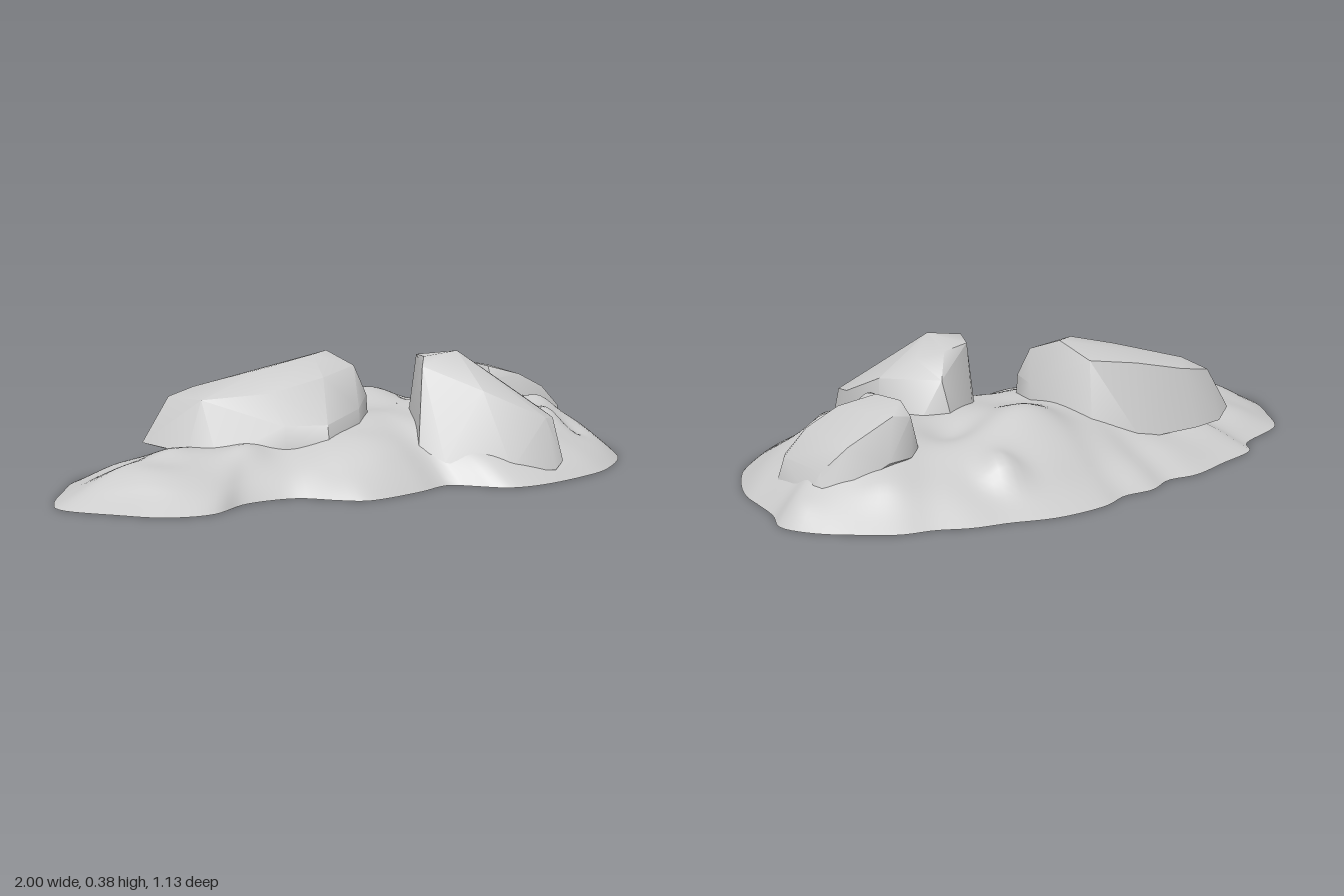
import * as THREE from 'three';
import { toCreasedNormals } from 'three/addons/utils/BufferGeometryUtils.js';
import { ConvexGeometry } from 'three/addons/geometries/ConvexGeometry.js';

const material = new THREE.MeshStandardMaterial({ color: 0xcccccc });

// ground outline (x, z): left tip, along the back, right end, along the front
const OUTLINE = [
  [-1, 0], [-0.98, -0.08], [-0.9, -0.2], [-0.8, -0.32], [-0.57, -0.4], [-0.52, -0.46], [-0.35, -0.5],
  [-0.2, -0.53], [-0.1, -0.515], [0, -0.55], [0.1, -0.54], [0.2, -0.57], [0.37, -0.56], [0.5, -0.51],
  [0.6, -0.48], [0.69, -0.43], [0.78, -0.4], [0.88, -0.32], [0.95, -0.25], [1, -0.15], [0.97, -0.05],
  [0.96, 0.05], [0.95, 0.15], [0.9, 0.28], [0.82, 0.4], [0.63, 0.52], [0.5, 0.55], [0.3, 0.56],
  [0.2, 0.53], [0.13, 0.45], [0.08, 0.4], [-0.05, 0.42], [-0.24, 0.42], [-0.3, 0.37], [-0.38, 0.28],
  [-0.45, 0.255], [-0.55, 0.25], [-0.68, 0.3], [-0.8, 0.26], [-0.9, 0.15],
];

// height of the ground along its length (x, y)
const CREST = [[-1, 0.09], [-0.6, 0.11], [-0.3, 0.14], [0, 0.18], [0.3, 0.18], [0.7, 0.19], [1, 0.18]];

// lumps and hollows: x, z, radius x, radius z, height
const LUMPS = [
  [0.22, -0.24, 0.16, 0.13, 0.06], [0.42, -0.38, 0.06, 0.07, 0.05], [0.43, -0.12, 0.1, 0.08, -0.035],
  [0.53, 0.14, 0.05, 0.07, 0.07], [0.67, 0.17, 0.07, 0.05, 0.035], [0.61, 0.27, 0.05, 0.05, 0.03],
  [0.7, 0.3, 0.05, 0.06, -0.025], [0.75, -0.28, 0.08, 0.06, 0.02], [-0.1, 0.25, 0.12, 0.08, 0.015],
  [-0.78, 0.08, 0.09, 0.08, 0.02], [-0.62, -0.03, 0.07, 0.06, 0.015], [-0.44, 0.1, 0.06, 0.05, 0.02],
  [0.96, -0.17, 0.04, 0.05, 0.02],
];

function crestHeight(x) {
  let i = 0;
  while (i < CREST.length - 2 && x > CREST[i + 1][0]) i++;
  const [x0, y0] = CREST[i], [x1, y1] = CREST[i + 1];
  return y0 + (y1 - y0) * THREE.MathUtils.smoothstep(x, x0, x1);
}

// t runs from 0 at the rim to 1 on the spine
function groundHeight(x, z, t) {
  let y = crestHeight(x) * (1 - Math.pow(1 - t, 2.2 + z));
  const fade = Math.min(1, t * 4);
  for (const [cx, cz, rx, rz, h] of LUMPS) {
    y += fade * h * Math.exp(-(((x - cx) / rx) ** 2) - ((z - cz) / rz) ** 2);
  }
  y += fade * 0.005 * Math.sin(x * 17 + z * 9) * Math.sin(z * 21 - x * 6);
  return Math.max(0, y);
}

// rings shrink from the outline onto a straight spine
function groundGeometry(rim, rings) {
  const n = rim.length, pos = [], index = [];
  for (let i = 0; i <= rings; i++) {
    const t = i / rings;
    for (const p of rim) {
      const x = THREE.MathUtils.lerp(p.x, p.x * 0.65, t);
      const z = THREE.MathUtils.lerp(p.z, -0.02, t);
      pos.push(x, groundHeight(x, z, t), z);
    }
  }
  for (let i = 0; i < rings; i++) {
    for (let j = 0; j < n; j++) {
      const k = (j + 1) % n;
      const a = i * n + j, b = i * n + k, c = b + n, d = a + n;
      index.push(a, d, c, a, c, b);
    }
  }
  const g = new THREE.BufferGeometry();
  g.setAttribute('position', new THREE.Float32BufferAttribute(pos, 3));
  g.setIndex(index);
  g.computeVertexNormals();
  return g;
}

// flat underside
function undersideGeometry(rim) {
  const pos = [];
  rim.forEach((a, j) => {
    const b = rim[(j + 1) % rim.length];
    pos.push(0, 0, 0, a.x, 0, a.z, b.x, 0, b.z);
  });
  const g = new THREE.BufferGeometry();
  g.setAttribute('position', new THREE.Float32BufferAttribute(pos, 3));
  g.computeVertexNormals();
  return g;
}

// boulder: hull of its corner points, soft except at strong edges
function boulderGeometry(points) {
  const hull = new ConvexGeometry(points.map((p) => new THREE.Vector3(...p)));
  return toCreasedNormals(hull, THREE.MathUtils.degToRad(38));
}

const BOULDERS = {
  leftBoulder: [
    // top
    [-0.02, 0.37, -0.1], [-0.1, 0.366, -0.06], [-0.25, 0.33, -0.1], [-0.45, 0.275, -0.21], [-0.49, 0.25, -0.09],
    [-0.5, 0.24, -0.28], [-0.05, 0.32, -0.21], [-0.2, 0.3, -0.26], [-0.38, 0.26, -0.29], [0.01, 0.33, 0.01],
    [-0.15, 0.31, 0.07], [-0.32, 0.27, 0.03],
    // sides
    [0.05, 0.23, -0.04], [0.03, 0.24, 0.05], [-0.05, 0.21, 0.12], [-0.2, 0.18, 0.165], [-0.32, 0.18, 0.11],
    // foot
    [-0.59, 0.1, -0.29], [-0.5, 0.08, -0.34], [-0.38, 0.08, -0.355], [-0.15, 0.08, -0.34], [-0.02, 0.1, -0.26],
    [0.06, 0.14, -0.06], [0.04, 0.12, 0.05], [-0.05, 0.1, 0.13], [-0.2, 0.08, 0.18], [-0.32, 0.08, 0.12],
    [-0.5, 0.08, 0.02], [-0.56, 0.1, -0.06],
  ],
  frontBoulder: [
    // top
    [0.26, 0.38, 0.22], [0.15, 0.366, 0.19], [0.2, 0.36, 0.09], [0.3, 0.35, 0.07], [0.38, 0.33, 0.11],
    [0.36, 0.28, 0], [0.47, 0.27, 0.18], [0.12, 0.34, 0.22],
    // front slope
    [0.485, 0.2, 0.35], [0.45, 0.18, 0.46], [0.4, 0.185, 0.48], [0.24, 0.27, 0.37],
    // foot
    [0.06, 0.1, 0.28], [0.1, 0.06, 0.36], [0.26, 0.04, 0.485], [0.4, 0.03, 0.53], [0.45, 0.05, 0.51],
    [0.49, 0.1, 0.35], [0.49, 0.1, 0.15], [0.46, 0.1, 0.03], [0.34, 0.14, -0.03], [0.24, 0.12, 0],
    [0.2, 0.1, 0.04], [0.13, 0.1, 0.17],
  ],
  rightBoulder: [
    // top, sloping to the outside
    [0.6, 0.287, -0.14], [0.6, 0.28, -0.01], [0.58, 0.24, 0.03], [0.6, 0.25, -0.19], [0.66, 0.26, -0.19],
    [0.7, 0.25, 0.04], [0.7, 0.265, -0.12], [0.8, 0.195, -0.18], [0.8, 0.2, 0.05], [0.87, 0.13, -0.15],
    [0.88, 0.13, 0.04], [0.86, 0.13, 0.07],
    // foot
    [0.9, 0.06, -0.12], [0.9, 0.06, 0.05], [0.86, 0.05, 0.08], [0.7, 0.1, 0.075], [0.57, 0.15, 0.02],
    [0.56, 0.17, -0.1], [0.57, 0.15, -0.18], [0.62, 0.14, -0.22], [0.7, 0.14, -0.23], [0.8, 0.09, -0.21],
    [0.88, 0.06, -0.17],
  ],
};

export function createModel() {
  const group = new THREE.Group();
  group.name = 'rockOutcrop';
  const add = (name, geometry) => {
    const mesh = new THREE.Mesh(geometry, material);
    mesh.name = name;
    group.add(mesh);
  };

  const curve = new THREE.CatmullRomCurve3(OUTLINE.map(([x, z]) => new THREE.Vector3(x, 0, z)), true);
  const rim = curve.getSpacedPoints(200).slice(0, -1);
  add('ground', groundGeometry(rim, 28));
  add('underside', undersideGeometry(rim));
  for (const [name, points] of Object.entries(BOULDERS)) add(name, boulderGeometry(points));
  return group;
}
